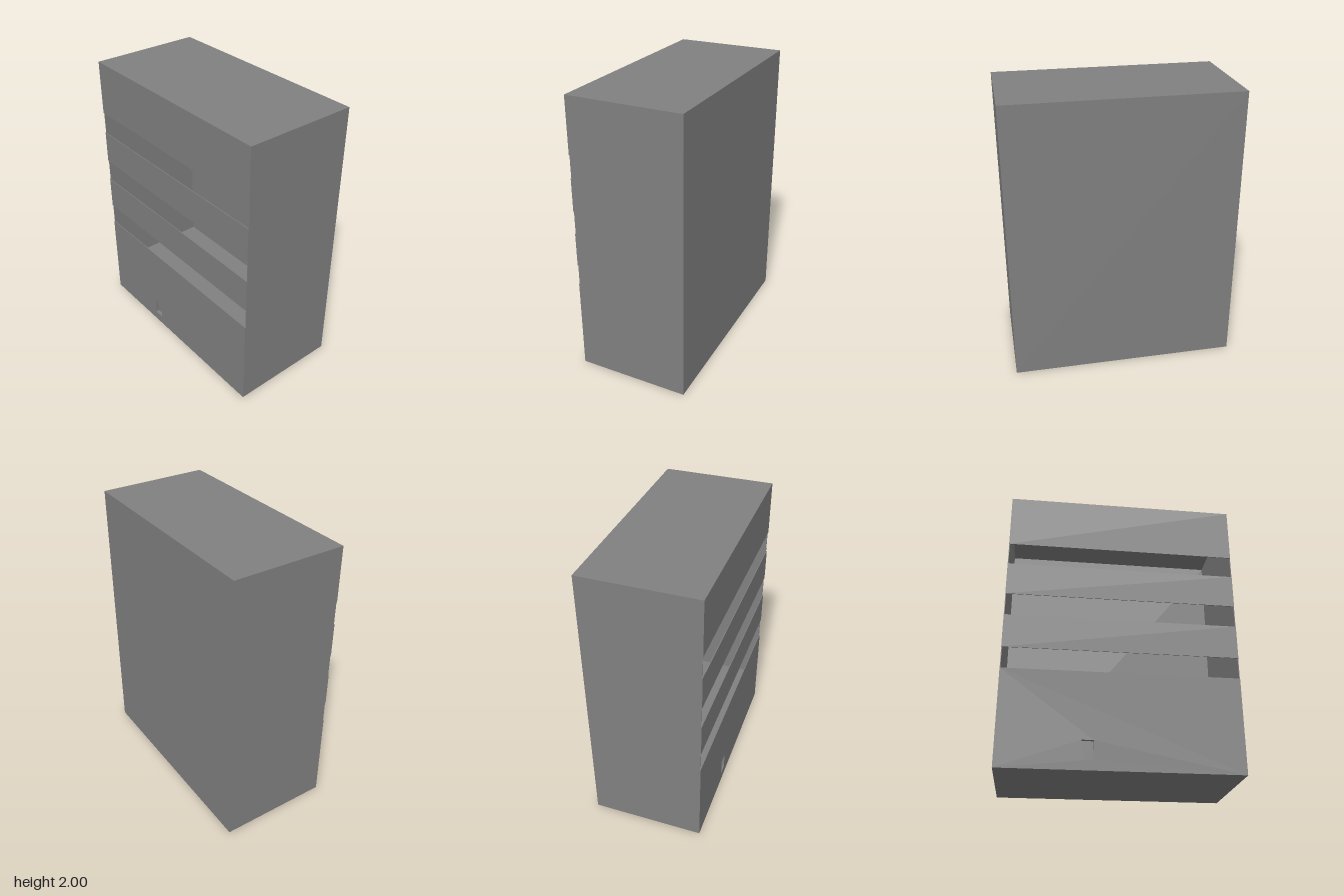
import * as THREE from 'three';

const W = 1.594, H = 2, D = 0.795; // cabinet size
const T = 0.005;                   // sheet thickness

export function createModel() {
  const grey = new THREE.MeshStandardMaterial({ color: 0x808080 });
  grey.name = 'grey';
  const cabinet = new THREE.Group();
  cabinet.name = 'cabinet';

  // Board given by its minimum and maximum corners
  const board = (name, x0, x1, y0, y1, z0, z1) => {
    const mesh = new THREE.Mesh(new THREE.BoxGeometry(x1 - x0, y1 - y0, z1 - z0), grey);
    mesh.position.set((x0 + x1) / 2, (y0 + y1) / 2, (z0 + z1) / 2);
    mesh.name = name;
    cabinet.add(mesh);
  };

  // Hollow carcass, open at the front
  const x = W / 2, zb = -D / 2, zf = D / 2 - T;
  board('backWall', -x, x, 0, H, zb, zb + T);
  board('rightWall', -x, -x + T, 0, H, zb + T, zf);
  board('leftWall', x - T, x, 0, H, zb + T, zf);
  for (const [name, y] of [['base', 0], ['innerFloor', 0.25], ['roof', H - T]]) {
    board(name, -x + T, x - T, y, y + T, zb + T, zf);
  }

  // Front slats, leaving three full-width openings
  for (const [y0, y1] of [[0.81, 1.05], [1.21, 1.45], [1.61, H]]) {
    board('frontSlat', -x, x, y0, y1, zf, zf + T);
  }

  // Lower front panel with a small upright hole
  const hx0 = -0.257, hx1 = -0.18, hy0 = 0.07, hy1 = 0.195;
  const rect = (P, x0, x1, y0, y1) => {
    const p = new P();
    p.moveTo(x0, y0).lineTo(x1, y0).lineTo(x1, y1).lineTo(x0, y1).closePath();
    return p;
  };
  const shape = rect(THREE.Shape, -x, x, 0, 0.66);
  shape.holes.push(rect(THREE.Path, hx0, hx1, hy0, hy1));
  const panel = new THREE.Mesh(
    new THREE.ExtrudeGeometry(shape, { depth: T, bevelEnabled: false }), grey);
  panel.position.z = zf;
  panel.name = 'lowerPanel';
  cabinet.add(panel);

  // Shallow cup behind the hole
  const zc = D / 2 - 0.026;
  board('recessBack', hx0 - T, hx1 + T, hy0 - T, hy1 + T, zc - T, zc);
  board('recessSide', hx0 - T, hx0, hy0, hy1, zc, zf);
  board('recessSide', hx1, hx1 + T, hy0, hy1, zc, zf);
  board('recessSill', hx0 - T, hx1 + T, hy0 - T, hy0, zc, zf);
  board('recessTop', hx0 - T, hx1 + T, hy1, hy1 + T, zc, zf);

  // The cabinet stands turned on its footprint
  cabinet.rotation.y = THREE.MathUtils.degToRad(-50);
  const model = new THREE.Group();
  model.add(cabinet);
  return model;
}
